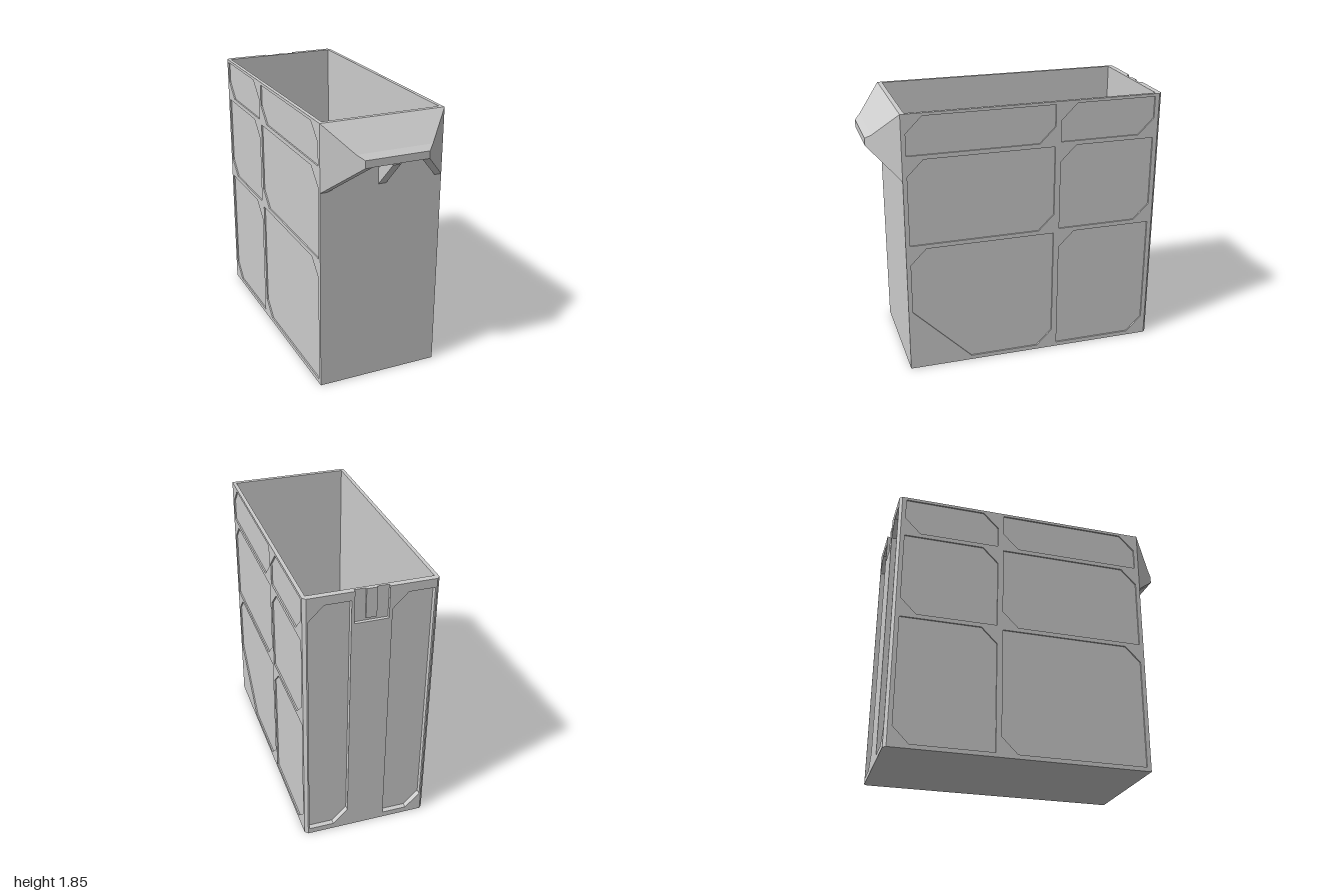
import * as THREE from 'three';

const mat = new THREE.MeshStandardMaterial({ color: 0xcccccc });

const toPoints = (pts) => pts.map(([a, b]) => new THREE.Vector2(a, b));

// Extruded plate with optional cut-outs
function plate(outline, holes, depth) {
  const shape = new THREE.Shape(toPoints(outline));
  holes.forEach((h) => shape.holes.push(new THREE.Path(toPoints(h))));
  return new THREE.ExtrudeGeometry(shape, { depth, bevelEnabled: false });
}

// Rectangle with cut corners: top-right, bottom-left, bottom-right
function cutRect(x0, x1, y0, y1, tr, bl, br) {
  const pts = [[x0, y1], [x0, y0 + bl]];
  if (bl) pts.push([x0 + bl, y0]);
  pts.push([x1 - br, y0]);
  if (br) pts.push([x1, y0 + br]);
  pts.push([x1, y1 - tr]);
  if (tr) pts.push([x1 - tr, y1]);
  return pts;
}

export function createModel() {
  const group = new THREE.Group();
  const add = (name, geo, x = 0, y = 0, z = 0) => {
    const mesh = new THREE.Mesh(geo, mat);
    mesh.name = name;
    mesh.position.set(x, y, z);
    group.add(mesh);
    return mesh;
  };
  const box = (name, x0, x1, y0, y1, z0, z1) =>
    add(name, new THREE.BoxGeometry(x1 - x0, y1 - y0, z1 - z0),
      (x0 + x1) / 2, (y0 + y1) / 2, (z0 + z1) / 2);
  const H = 1.85;

  // Open-topped bin core, drawn in plan (x, -z) and raised
  const core = plate(
    [[-0.42, -0.8], [0.42, -0.8], [0.42, 0.965], [-0.42, 0.965]],
    [[[-0.405, -0.77], [-0.405, 0.96], [0.405, 0.96], [0.405, -0.77]]], H);
  core.rotateX(-Math.PI / 2);
  add('binWalls', core);
  box('binFloor', -0.41, 0.41, 0, 0.03, -0.963, 0.78);

  // Side skins with recessed panels, drawn in (z, y)
  const rows = [[0.03, 0.91], [0.94, 1.54], [1.57, 1.83]];
  for (const side of [1, -1]) {
    const panels = [];
    rows.forEach(([y0, y1], i) => {
      const bigCut = side > 0 && i === 0 ? 0.41 : 0;
      // corner cuts: upper front, and lower rear
      for (const [z0, z1, front] of [[-0.24, 0.77, bigCut], [-0.95, -0.28, 0]])
        panels.push(cutRect(z0, z1, y0, y1, 0.11, 0.11, front));
    });
    const skin = plate([[-0.965, 0], [0.8, 0], [0.8, H], [-0.965, H]], panels, 0.01);
    skin.rotateY(-Math.PI / 2);
    add(side > 0 ? 'leftPanelSkin' : 'rightPanelSkin', skin, side > 0 ? 0.43 : -0.42);
  }

  // Back skin with two long channels and a notch in the top edge
  const channel = (x0, x1) => cutRect(x0, x1, 0.04, 1.79, 0.1, 0.1, 0);
  const back = plate(
    [[-0.41, 0], [0.41, 0], [0.41, H], [0.11, H], [0.11, 1.63], [-0.11, 1.63], [-0.11, H], [-0.41, H]],
    [channel(-0.4, -0.13), channel(0.13, 0.4)], 0.035);
  add('backChannelSkin', back, 0, 0, -1);
  box('notchBack', -0.11, 0.11, 1.63, H, -0.978, -0.965);
  box('notchTab', -0.035, 0.035, 1.65, H, -0.99, -0.978);

  // Chamfered rear corner posts
  for (const s of [1, -1]) {
    const pts = [[0.41 * s, 0.965], [0.43 * s, 0.965], [0.43 * s, 0.98], [0.41 * s, 1]];
    const post = plate(pts, [], H);
    post.rotateX(-Math.PI / 2);
    add('rearCornerPost', post);
  }

  // Front lip parts: a (z, y) profile swept across x from xAt(0, z) to xAt(1, z)
  const half = (z) => 0.43 - (z - 0.8) * 1.05;
  const lipPart = (name, profile, xAt) => {
    const geo = plate(profile, [], 1);
    geo.rotateY(-Math.PI / 2);
    const p = geo.attributes.position;
    for (let i = 0; i < p.count; i++) p.setX(i, xAt(p.getX(i) + 1, p.getZ(i)));
    geo.computeVertexNormals();
    add(name, geo);
  };
  lipPart('lipTop',
    [[0.8, H], [0.8, 1.81], [0.95, 1.645], [0.97, 1.63], [0.97, 1.6], [1, 1.6], [1, 1.65], [0.96, 1.68]],
    (t, z) => (2 * t - 1) * half(z));
  const web = [[0.8, 1.84], [0.8, 1.4], [1, 1.6], [1, 1.645], [0.96, 1.67]];
  lipPart('lipLeftCheek', web, (t, z) => half(z) - 0.05 * (1 - t));
  lipPart('lipRightCheek', web, (t, z) => -half(z) + 0.05 * t);
  lipPart('lipCentreRib', [[0.8, 1.82], [0.8, 1.4], [0.99, 1.59], [0.99, 1.64]],
    (t) => (t - 0.5) * 0.055);

  return group;
}
